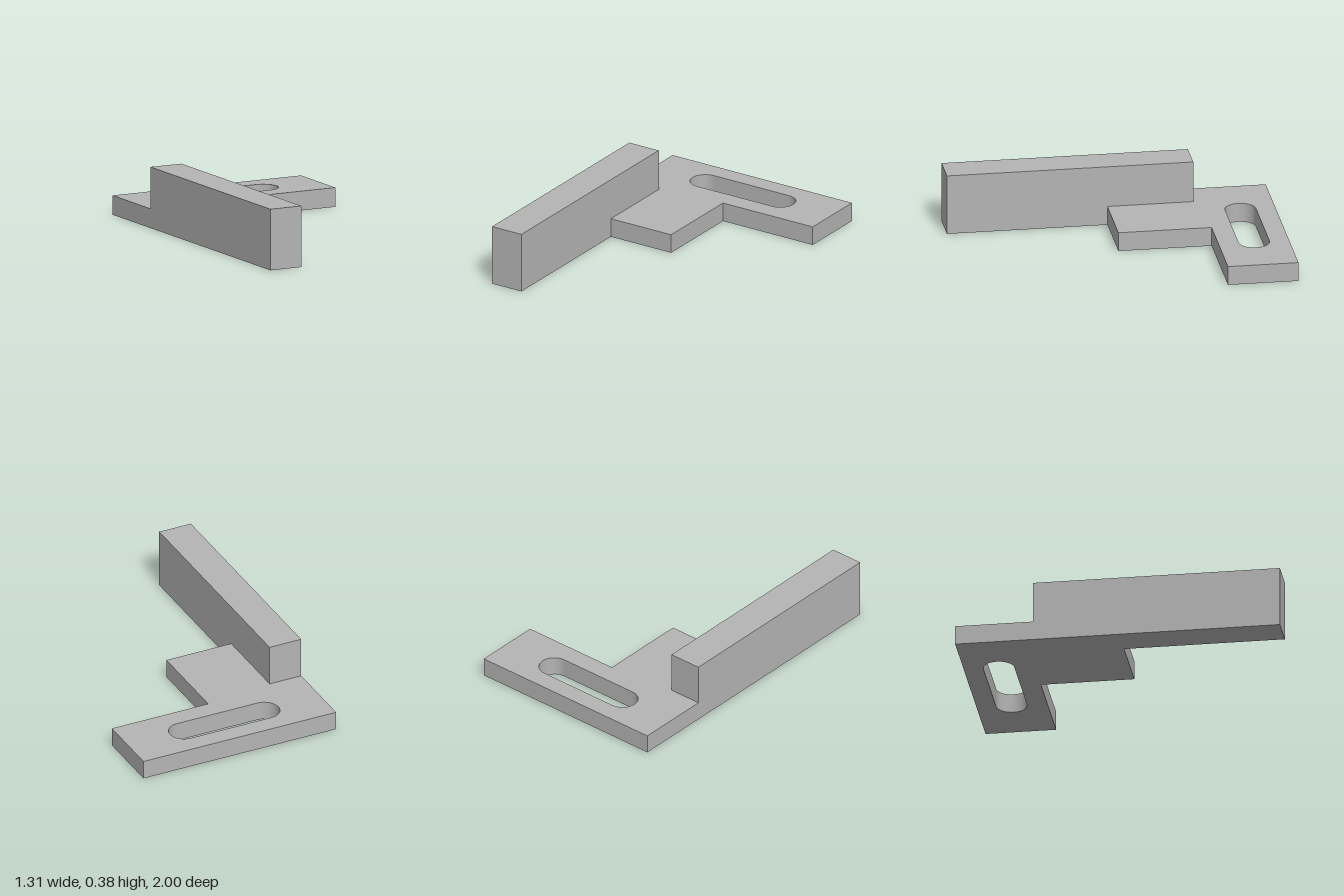
import * as THREE from 'three';

export function createModel() {
  const group = new THREE.Group();
  const grey = new THREE.MeshStandardMaterial({ color: 0xb4b4b4 });
  grey.name = 'plain grey';

  // Flat plate, outlined in x and -z, notched where the bar stands
  const outline = [
    [-0.655, 1], [-0.655, 0.52], [-0.44, 0.52], [-0.44, -0.01],
    [0, -0.01], [0, 0.565], [0.655, 0.565], [0.655, 1],
  ];
  const shape = new THREE.Shape(outline.map(([x, y]) => new THREE.Vector2(x, y)));

  // Round-ended slot
  const r = 0.095, half = 0.273, slotY = 0.785;
  const slot = new THREE.Path();
  slot.absarc(half, slotY, r, Math.PI / 2, -Math.PI / 2, true);
  slot.absarc(-half, slotY, r, -Math.PI / 2, -Math.PI * 1.5, true);
  slot.closePath();
  shape.holes.push(slot);

  const plateGeometry = new THREE.ExtrudeGeometry(shape, {
    depth: 0.12, bevelEnabled: false, curveSegments: 24,
  });
  plateGeometry.rotateX(-Math.PI / 2);
  const plate = new THREE.Mesh(plateGeometry, grey);
  plate.name = 'slottedPlate';

  // Tall bar along the right edge
  const bar = new THREE.Mesh(new THREE.BoxGeometry(0.215, 0.38, 1.52), grey);
  bar.position.set(-0.5475, 0.19, 0.24);
  bar.name = 'uprightBar';

  group.add(plate, bar);
  return group;
}
